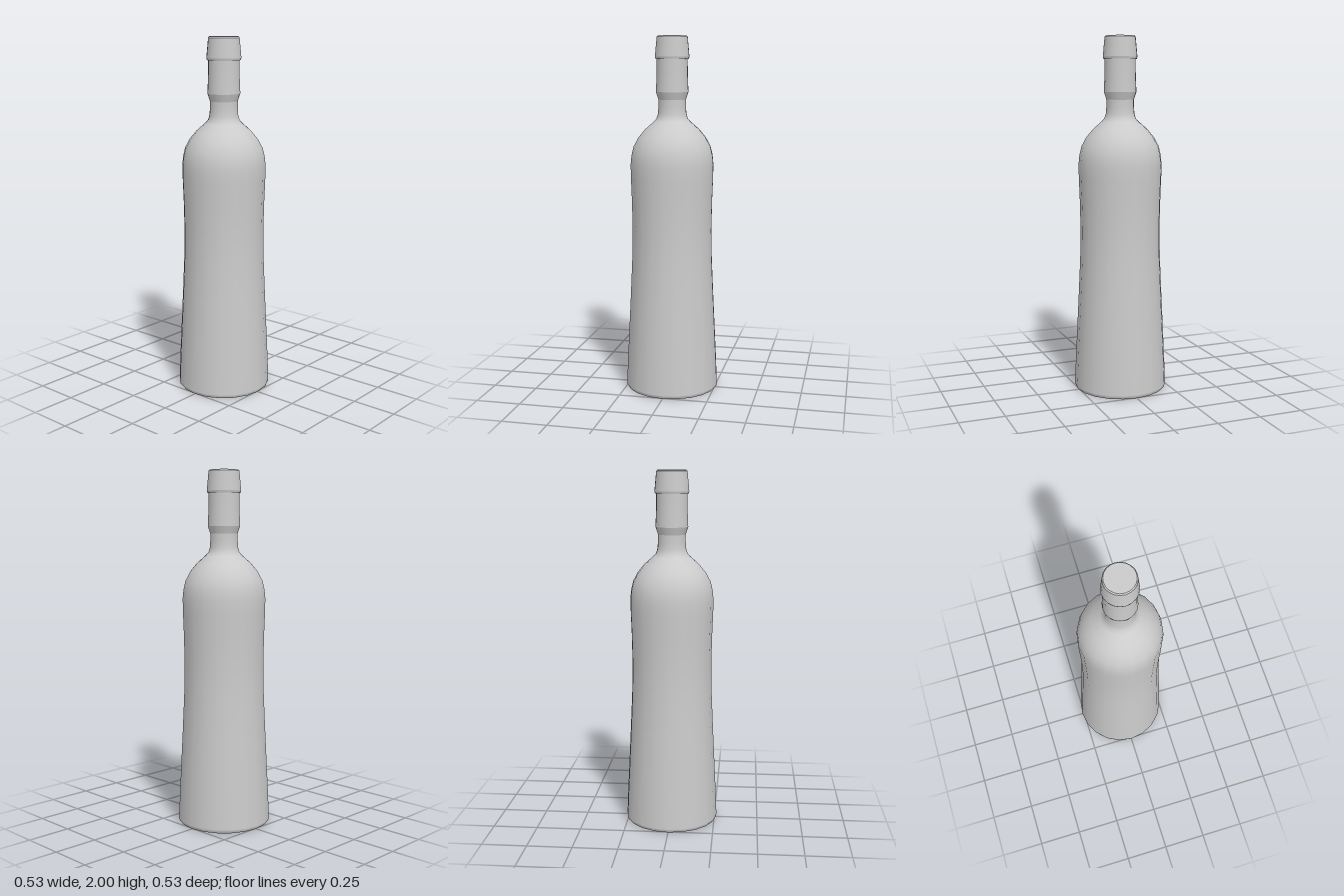
import * as THREE from 'three';

const SIDES = 20;
const material = new THREE.MeshStandardMaterial({ color: 0xcccccc });

// Revolve a [radius, height] profile, listed from bottom to top
function turned(name, profile) {
  const points = profile.map(([r, y]) => new THREE.Vector2(r, y));
  const mesh = new THREE.Mesh(new THREE.LatheGeometry(points, SIDES), material);
  mesh.name = name;
  return mesh;
}

export function createModel() {
  const bottle = new THREE.Group();
  bottle.name = 'bottle';

  // Separate profiles meet at hard edges; each one is smooth within itself
  bottle.add(
    turned('base', [[0, 0], [0.255, 0]]),
    turned('baseBevel', [[0.255, 0], [0.261, 0.007], [0.263, 0.018]]),

    // Flared body with a slight waist, rounded shoulder and narrow neck
    turned('body', [
      [0.263, 0.018], [0.257, 0.16], [0.247, 0.36], [0.237, 0.56], [0.228, 0.76],
      [0.225, 0.92], [0.228, 1.08], [0.233, 1.22], [0.234, 1.29], [0.229, 1.34],
      [0.217, 1.39], [0.19, 1.44], [0.153, 1.485], [0.104, 1.528], [0.088, 1.545],
      [0.08, 1.572], [0.077, 1.61], [0.077, 1.65],
    ]),

    // Sleeve around the upper neck
    turned('sleeveFlare', [[0.077, 1.65], [0.091, 1.692]]),
    turned('sleeve', [[0.091, 1.692], [0.087, 1.78], [0.086, 1.878]]),

    // Tapered cap with a bevelled lip and rim
    turned('capUnderside', [[0.086, 1.873], [0.093, 1.873]]),
    turned('capLip', [[0.093, 1.873], [0.096, 1.885]]),
    turned('capSide', [[0.096, 1.885], [0.086, 1.993]]),
    turned('capRim', [[0.086, 1.993], [0.08, 2]]),
    turned('capTop', [[0.08, 2], [0, 2]]),
  );
  return bottle;
}
